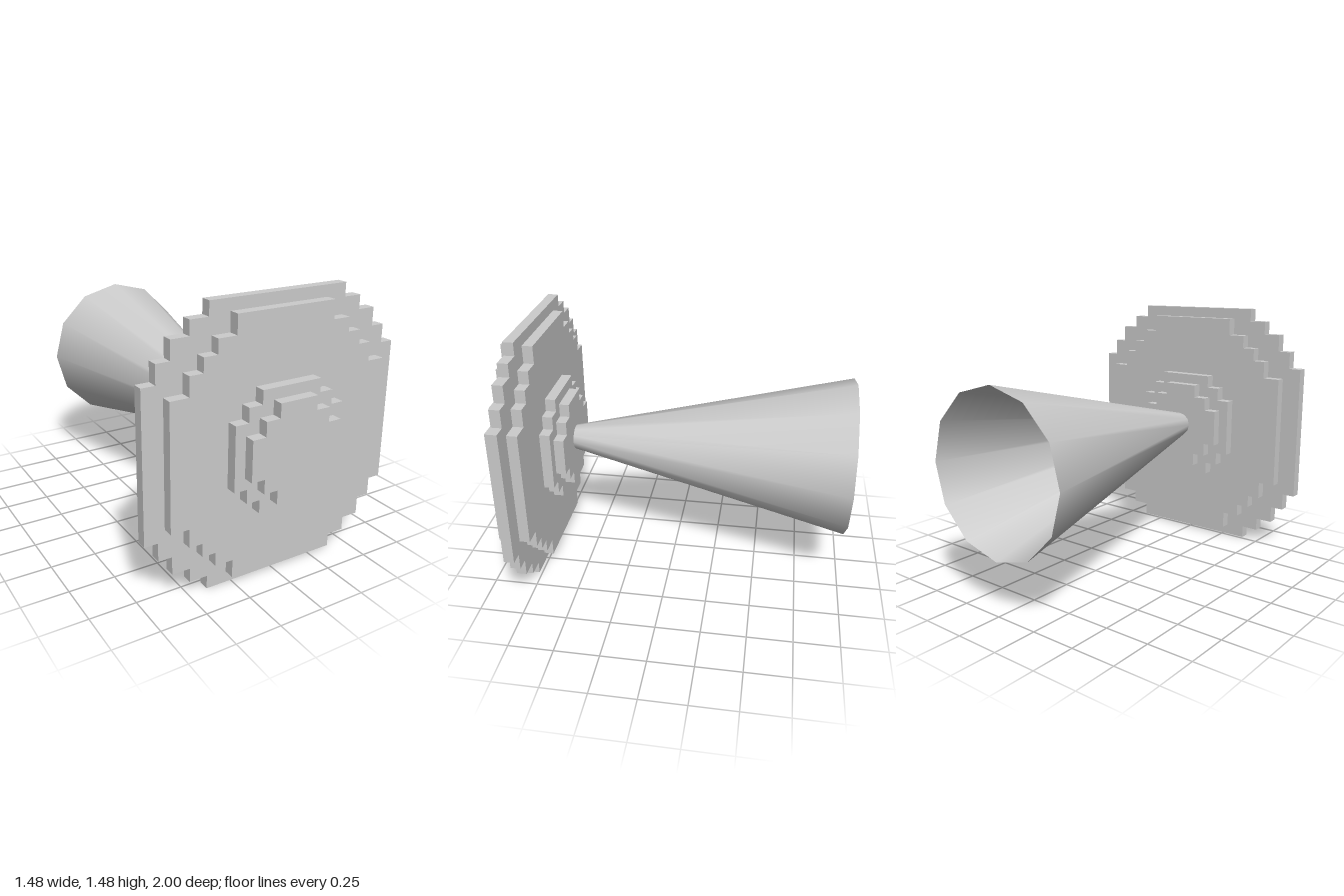
import * as THREE from 'three';

const CENTER_Y = 0.74;
const MID_Z = 0.797;

// Stepped slab: corners list the outer step corners of one quadrant, from top to side
function steppedSlab(name, corners, depth, material) {
  const quadrant = [];
  corners.forEach(([x, y], i) => {
    if (i > 0) quadrant.push([corners[i - 1][0], y]);
    quadrant.push([x, y]);
  });
  const reversed = [...quadrant].reverse();
  const outline = [
    ...quadrant,
    ...reversed.map(([x, y]) => [x, -y]),
    ...quadrant.map(([x, y]) => [-x, -y]),
    ...reversed.map(([x, y]) => [-x, y]),
  ].map(([x, y]) => new THREE.Vector2(x, y));

  const geometry = new THREE.ExtrudeGeometry(new THREE.Shape(outline), { depth, bevelEnabled: false });
  geometry.translate(0, CENTER_Y, MID_Z - depth / 2);
  const mesh = new THREE.Mesh(geometry, material);
  mesh.name = name;
  return mesh;
}

export function createModel() {
  const model = new THREE.Group();
  model.name = 'steppedDiscWithCone';
  const grey = new THREE.MeshStandardMaterial({ color: 0xcccccc });
  const thinGrey = new THREE.MeshStandardMaterial({ color: 0xcccccc, side: THREE.DoubleSide });

  // Nested slabs: the smaller the outline, the thicker the slab
  const slabs = [
    ['rimSlab', [[0.393, 0.738], [0.492, 0.665], [0.59, 0.59], [0.665, 0.492], [0.738, 0.393]], 0.058],
    ['bodySlab', [[0.28, 0.677], [0.38, 0.578], [0.455, 0.504], [0.528, 0.43], [0.628, 0.33]], 0.174],
    ['hubSlab', [[0.17, 0.318], [0.245, 0.246], [0.318, 0.17]], 0.292],
    ['hubCap', [[0.108, 0.26], [0.186, 0.185], [0.26, 0.108]], 0.406],
  ];
  for (const [name, corners, depth] of slabs) model.add(steppedSlab(name, corners, depth, grey));

  // Open cone flaring out towards the back
  const backZ = -1, frontZ = 0.594;
  const coneGeometry = new THREE.CylinderGeometry(0.072, 0.445, frontZ - backZ, 12, 1, true);
  coneGeometry.rotateX(Math.PI / 2);
  const cone = new THREE.Mesh(coneGeometry, thinGrey);
  cone.position.set(0, CENTER_Y, (frontZ + backZ) / 2);
  cone.name = 'flaredCone';
  model.add(cone);

  return model;
}
